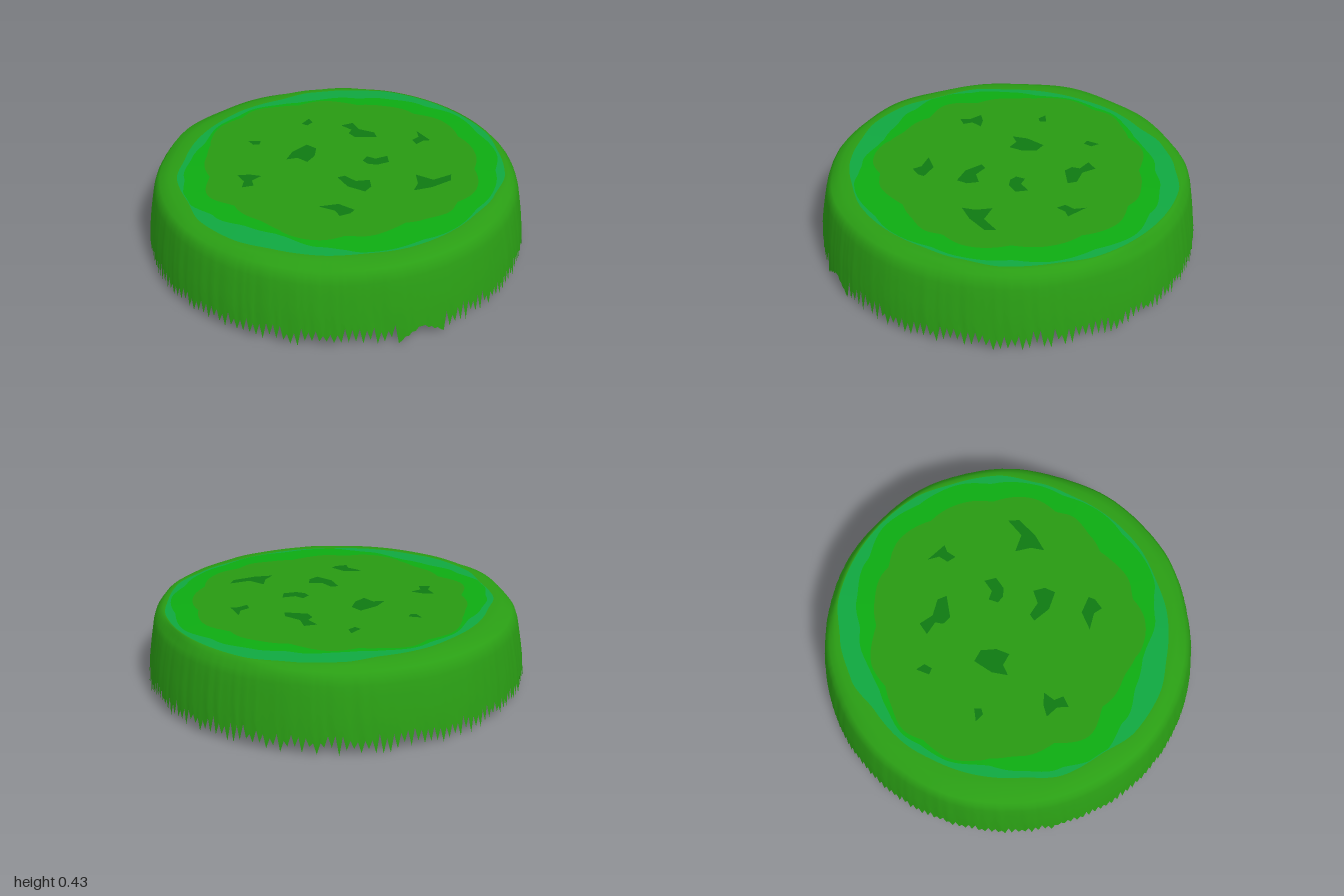
import * as THREE from 'three';

const N = 360; // columns around the shell

let seed = 7;
const rand = () => (seed = (seed * 16807) % 2147483647) / 2147483647;

// Radii every 15 degrees, from +x towards +z
const INNER = [.75, .74, .74, .74, .72, .67, .66, .68, .70, .70, .64, .66, .70, .68, .68, .73, .75, .76, .72, .72, .70, .70, .73, .75];
const MIDDLE = [.86, .86, .84, .83, .82, .82, .81, .81, .76, .72, .72, .78, .82, .80, .76, .75, .77, .78, .75, .74, .77, .80, .84, .87];
const OUTER = [.90, .88, .88, .85, .83, .83, .83, .82, .83, .83, .85, .85, .82, .83, .80, .80, .80, .81, .81, .85, .87, .90, .90, .90];

// Dark spots on the top, as x, z corners
const SPOTS = [
  [-.33, -.42, -.27, -.39, -.29, -.36, -.32, -.37],
  [.01, -.48, .07, -.52, .07, -.47, .03, -.45],
  [.20, -.37, .27, -.37, .27, -.29, .33, -.22, .32, -.17, .21, -.22, .20, -.27, .23, -.30],
  [-.22, -.15, -.16, -.21, -.06, -.25, -.03, -.19, -.07, -.12, -.13, -.08, -.16, -.14],
  [-.51, -.11, -.45, -.09, -.40, -.05, -.46, -.03, -.47, .02, -.53, .01, -.50, -.04],
  [.55, -.14, .57, -.02, .53, -.03, .48, -.01, .48, -.06, .53, -.08],
  [.14, .03, .18, 0, .21, .04, .28, .04, .26, .10, .19, .10, .15, .07],
  [-.05, .13, -.01, .13, .02, .20, .09, .22, .07, .28, .02, .31, -.04, .23],
  [.33, .27, .39, .35, .50, .34, .47, .39, .35, .41, .25, .40, .30, .35],
  [-.25, .34, -.15, .36, -.10, .44, -.13, .46, -.19, .46, -.19, .41],
];

// Smooth closed interpolation of a radius list, with optional scallops
function radii(list, scallop = 0) {
  return Array.from({ length: N }, (_, i) => {
    const t = (i / N) * list.length, k = Math.floor(t), f = t - k;
    const s = f * f * (3 - 2 * f);
    return THREE.MathUtils.lerp(list[k], list[(k + 1) % list.length], s)
      + scallop * (Math.abs(Math.sin((i / N) * Math.PI * 13)) - 0.6);
  });
}

// Gently uneven height of the top
function topY(x, z) {
  const r = Math.hypot(x, z);
  return 0.428 - 0.018 * r ** 4 + 0.003 * Math.sin(3 * x + 1) * Math.cos(4 * z);
}

function polar(i, r, y) {
  const a = (i / N) * Math.PI * 2, x = r * Math.cos(a), z = r * Math.sin(a);
  return [x, y ?? topY(x, z), z];
}

// Closed surface strip through rings listed from the inside outwards
function strip(rows, point) {
  const pos = [], idx = [];
  for (let j = 0; j < rows; j++) for (let i = 0; i < N; i++) pos.push(...point(j, i));
  for (let j = 0; j < rows - 1; j++) {
    for (let i = 0; i < N; i++) {
      const n = (i + 1) % N, a = j * N + i, b = j * N + n, c = a + N, d = b + N;
      idx.push(a, b, c, b, d, c);
    }
  }
  const g = new THREE.BufferGeometry();
  g.setAttribute('position', new THREE.Float32BufferAttribute(pos, 3));
  g.setIndex(idx);
  g.computeVertexNormals();
  return g;
}

// Flat shape laid on the uneven top
function layOnTop(shape) {
  const g = new THREE.ShapeGeometry(shape).rotateX(-Math.PI / 2);
  const p = g.attributes.position;
  for (let i = 0; i < p.count; i++) p.setY(i, topY(p.getX(i), p.getZ(i)));
  return g;
}

export function createModel() {
  const group = new THREE.Group();
  const add = (name, geometry, color) => {
    const material = new THREE.MeshStandardMaterial({ color, side: THREE.DoubleSide });
    const mesh = new THREE.Mesh(geometry, material);
    mesh.name = name;
    group.add(mesh);
  };

  const inner = radii(INNER, 0.03);
  const outer = radii(OUTER);
  const middle = radii(MIDDLE, 0.015).map((r, i) => Math.min(Math.max(r, inner[i] + 0.005), outer[i] - 0.004));

  // Top disc with openings that the spots fill
  const disc = new THREE.Shape(inner.map((r, i) => {
    const [x, , z] = polar(i, r);
    return new THREE.Vector2(x, -z);
  }));
  SPOTS.forEach((s, k) => {
    const pts = [];
    for (let i = 0; i < s.length; i += 2) pts.push(new THREE.Vector2(s[i], -s[i + 1]));
    disc.holes.push(new THREE.Path(pts));
    add(`spot${k + 1}`, layOnTop(new THREE.Shape(pts)), 0x0f7a12);
  });
  add('topDisc', layOnTop(disc), 0x289a12);

  // Scalloped bands round the disc
  add('lightBand', strip(2, (j, i) => polar(i, j ? middle[i] : inner[i])), 0x0dac12);
  add('tealBand', strip(2, (j, i) => polar(i, j ? outer[i] : middle[i])), 0x10a840);

  // Rounded rim and skirt with a ragged, pleated hem
  const pleat = Array.from({ length: N }, () => (rand() - 0.5) * 0.005);
  const hem = Array.from({ length: N }, (_, i) => {
    const fromFront = Math.abs(i - N / 4);
    if (fromFront <= 6) return 0.065 - 0.009 * fromFront + 0.01 * (i % 2);
    return i % 2 ? 0.004 + rand() * 0.045 : 0.065 + rand() * 0.05;
  });
  hem[N / 4 + 7] = hem[N / 4 - 7] = 0;
  const profile = [[.922, .396], [.942, .37], [.953, .335], [.963, .28], [.975, .21], [.985, .14]];
  add('skirt', strip(profile.length + 3, (j, i) => {
    if (j === 0) return polar(i, outer[i]);
    if (j === 1) return polar(i, (outer[i] + 0.922) / 2);
    if (j === profile.length + 2) return polar(i, 0.998 - hem[i] * 0.08, hem[i]);
    const [r, y] = profile[j - 2];
    const a = (i / N) * Math.PI * 2;
    const sway = 0.004 * Math.sin(5 * a) + 0.003 * Math.sin(11 * a + 1);
    const drop = (j - 1) / profile.length;
    return polar(i, r + pleat[i] * drop + sway * (1 - drop), y + sway * (1 - drop));
  }), 0x2a9e14);

  return group;
}
